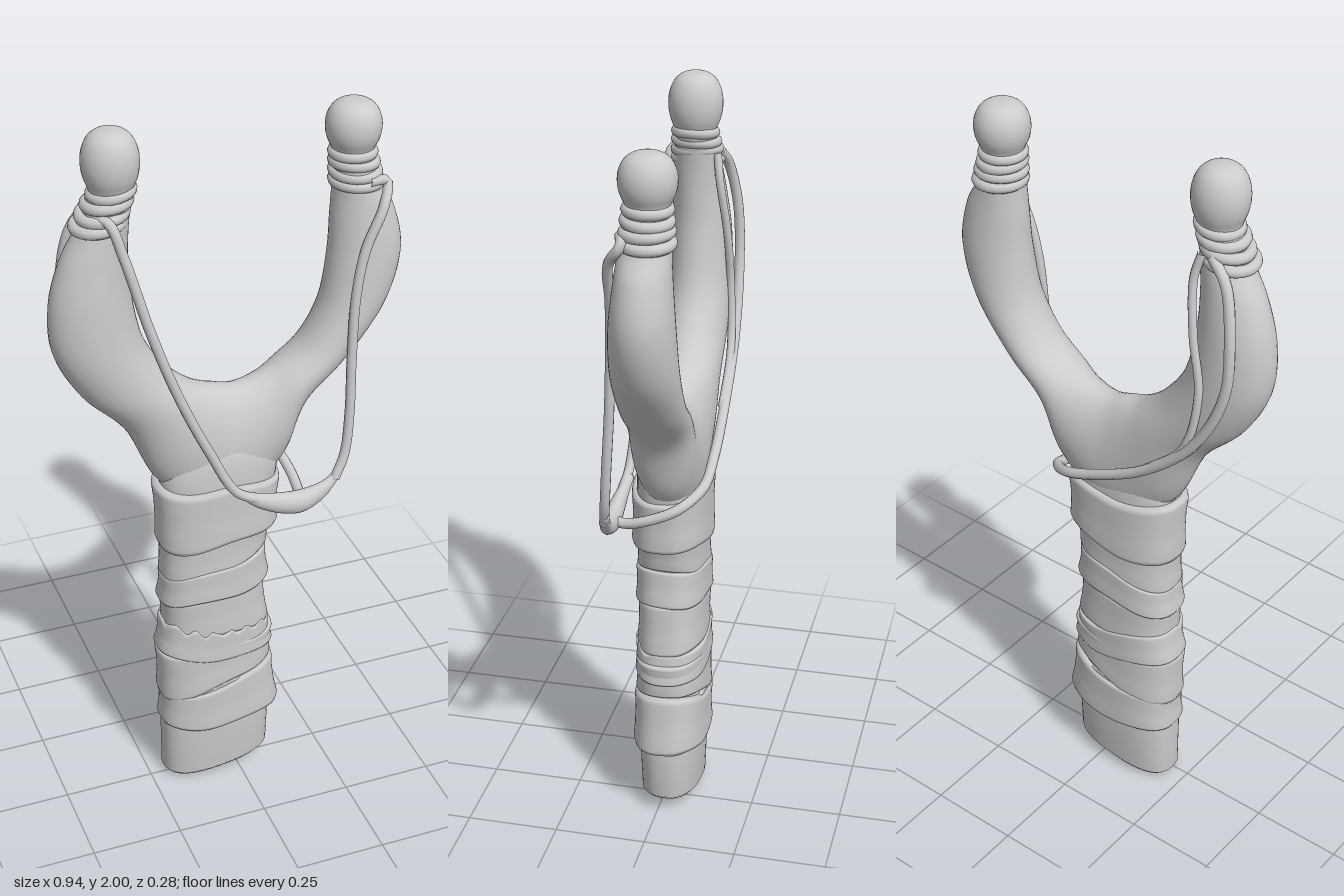
import * as THREE from 'three';

const V = (x, y, z) => new THREE.Vector3(x, y, z);
const grey = new THREE.MeshStandardMaterial({ color: 0xcccccc });

// Skin through closed super-ellipse sections { c: centre, u, v: half axes }
function loft(sections, { seg = 40, steps = 0, power = 2 } = {}) {
  let rings = sections;
  if (steps) {
    const [c, u, v] = ['c', 'u', 'v'].map(k =>
      new THREE.CatmullRomCurve3(sections.map(s => s[k]), false, 'catmullrom'));
    rings = Array.from({ length: steps + 1 }, (_, i) => {
      const t = i / steps;
      return { c: c.getPoint(t), u: u.getPoint(t), v: v.getPoint(t) };
    });
  }
  const n = rings.length, pos = [], idx = [];
  const along = rings[1].c.clone().sub(rings[0].c);
  const sign = Math.sign(rings[0].u.clone().cross(rings[0].v).dot(along)) || 1;
  const bend = w => Math.sign(w) * Math.abs(w) ** (2 / power);
  for (const { c, u, v } of rings) {
    for (let j = 0; j < seg; j++) {
      const a = j / seg * Math.PI * 2;
      const p = c.clone().addScaledVector(u, bend(Math.cos(a))).addScaledVector(v, sign * bend(Math.sin(a)));
      pos.push(p.x, p.y, p.z);
    }
  }
  for (let i = 0; i < n - 1; i++) {
    for (let j = 0; j < seg; j++) {
      const a = i * seg + j, b = i * seg + (j + 1) % seg;
      idx.push(a, b, a + seg, b, b + seg, a + seg);
    }
  }
  // end caps
  [0, n - 1].forEach((r, e) => {
    const m = pos.length / 3, c = rings[r].c;
    pos.push(c.x, c.y, c.z);
    for (let j = 0; j < seg; j++) {
      const a = r * seg + j, b = r * seg + (j + 1) % seg;
      idx.push(...(e ? [m, a, b] : [m, b, a]));
    }
  });
  const g = new THREE.BufferGeometry();
  g.setAttribute('position', new THREE.Float32BufferAttribute(pos, 3));
  g.setIndex(idx);
  g.computeVertexNormals();
  return g;
}

// Section lying across the handle, tilted from its right edge to its left edge
const across = (xa, ya, xb, yb, depth, z = -0.015, k = 1) => ({
  c: V((xa + xb) / 2, (ya + yb) / 2, z),
  u: V((xb - xa) / 2 * k, (yb - ya) / 2, 0),
  v: V(0, 0, depth * k),
});

export function createModel() {
  const model = new THREE.Group();
  const add = (name, geometry, parent = model) => {
    const m = new THREE.Mesh(geometry, grey);
    m.name = name;
    parent.add(m);
    return m;
  };
  const cord = (name, pts, r = 0.013) => add(name, new THREE.TubeGeometry(
    new THREE.CatmullRomCurve3(pts.map(p => V(...p))), 70, r, 10));

  // U-shaped fork: outer x, y, inner x, y, half depth
  const fork = [
    [-0.365, 1.84, -0.25, 1.86, 0.055], [-0.39, 1.76, -0.265, 1.77, 0.062],
    [-0.44, 1.67, -0.27, 1.67, 0.07], [-0.473, 1.55, -0.265, 1.57, 0.08],
    [-0.467, 1.42, -0.235, 1.43, 0.085], [-0.40, 1.29, -0.17, 1.33, 0.085],
    [-0.29, 1.17, -0.10, 1.27, 0.085], [-0.20, 0.99, -0.04, 1.25, 0.085],
    [-0.04, 0.88, 0.01, 1.24, 0.085], [0.13, 0.99, 0.07, 1.25, 0.085],
    [0.20, 1.16, 0.13, 1.275, 0.085], [0.31, 1.27, 0.20, 1.33, 0.085],
    [0.42, 1.41, 0.25, 1.43, 0.085], [0.465, 1.55, 0.27, 1.56, 0.08],
    [0.445, 1.67, 0.275, 1.67, 0.07], [0.40, 1.75, 0.28, 1.76, 0.062],
    [0.385, 1.84, 0.275, 1.84, 0.055],
  ].map(([ox, oy, ix, iy, d], i) => ({
    c: V((ox + ix) / 2, (oy + iy) / 2, -0.01 - 0.025 * i / 16),
    u: V((ox - ix) / 2, (oy - iy) / 2, 0),
    v: V(0, 0, d),
  }));
  add('fork', loft(fork, { steps: 110 }));

  // Handle core running up into the crotch
  add('handle', loft([
    across(-0.195, 0.004, 0.085, 0.04, 0.07),
    across(-0.208, 0.018, 0.1, 0.055, 0.08),
    across(-0.208, 0.2, 0.105, 0.2, 0.086),
    across(-0.20, 0.45, 0.095, 0.45, 0.088),
    across(-0.185, 0.7, 0.075, 0.7, 0.085),
    across(-0.20, 0.97, 0.12, 0.97, 0.088),
    across(-0.20, 1.04, 0.13, 1.04, 0.084),
    across(-0.16, 1.12, 0.11, 1.12, 0.07),
  ], { power: 2.5 }));

  // Wrapped strips: lower edge (right, left), upper edge (right, left), x range below and above, half depth
  const wraps = new THREE.Group();
  wraps.name = 'gripWrap';
  model.add(wraps);
  [
    [0.185, 0.20, 0.30, 0.37, -0.214, 0.132, -0.212, 0.112, 0.1],
    [0.285, 0.38, 0.45, 0.48, -0.215, 0.105, -0.22, 0.114, 0.096],
    [0.28, 0.20, 0.40, 0.33, -0.212, 0.130, -0.212, 0.108, 0.094],
    [0.44, 0.41, 0.54, 0.50, -0.221, 0.113, -0.206, 0.1, 0.097],
    [0.50, 0.50, 0.63, 0.65, -0.20, 0.1, -0.206, 0.085, 0.092],
    [0.61, 0.65, 0.70, 0.76, -0.211, 0.1, -0.203, 0.09, 0.097],
    [0.68, 0.75, 0.81, 0.84, -0.202, 0.09, -0.204, 0.112, 0.092],
    [0.785, 0.825, 0.985, 0.975, -0.208, 0.122, -0.218, 0.13, 0.102],
  ].forEach(([a0, b0, a1, b1, l0, r0, l1, r1, d], i) => {
    const rows = [[0, 0.9], [0.03, 0.985], [0.1, 1.01], [0.35, 0.985], [0.65, 0.98], [0.9, 1], [0.97, 0.985], [1, 0.9]];
    const mix = THREE.MathUtils.lerp;
    const g = loft(rows.map(([t, k]) =>
      across(mix(l0, l1, t), mix(a0, a1, t), mix(r0, r1, t), mix(b0, b1, t), d, -0.015, k)),
    { seg: 72, power: 2.5 });
    // uneven hand-wound edges, one of them torn
    const p = g.attributes.position;
    for (let j = 0; j < p.count; j++) {
      const x = p.getX(j), z = p.getZ(j);
      let y = p.getY(j) + 0.006 * Math.sin(x * 23 + i * 2 + z * 9);
      if (i === 3 && z > 0 && y > 0.49) y += 0.01 * Math.sin(x * 130);
      p.setY(j, y);
    }
    g.computeVertexNormals();
    add('wrapStrip', g, wraps);
  });

  // Fork ends: rounded knob and bound neck
  const ends = [
    { side: 'right', x: -0.306, z: -0.01, top: 2, tilt: 0.12, low: 1.765 },
    { side: 'left', x: 0.331, z: -0.037, top: 1.97, tilt: -0.04, low: 1.755 },
  ];
  for (const { side, x, z, top, tilt, low } of ends) {
    const end = new THREE.Group();
    end.name = side + 'ForkEnd';
    model.add(end);
    const h = top - 1.825;
    const profile = [[0, 0], [0.05, 0], [0.055, 0.15], [0.066, 0.32], [0.071, 0.5], [0.068, 0.7], [0.054, 0.88], [0.03, 0.98], [0, 1]]
      .map(([r, t]) => new THREE.Vector2(r, t * h));
    const smooth = new THREE.SplineCurve(profile).getPoints(32).map(p => new THREE.Vector2(Math.max(p.x, 0), p.y));
    const knob = add(side + 'Knob', new THREE.LatheGeometry(smooth, 32), end);
    knob.position.set(x, 1.825, z);
    for (let i = 0; i < 4; i++) {
      const ring = add('neckBinding', new THREE.TorusGeometry(0.049 + 0.003 * (3 - i), 0.015, 10, 36), end);
      ring.position.set(x - tilt * 0.1 * (3 - i), low + i * 0.026, z);
      ring.rotation.set(Math.PI / 2 + 0.05 * Math.sin(i * 2), tilt + 0.08 * Math.sin(i * 3), 0);
    }
  }

  // Elastic cords
  cord('frontRightCord', [[-0.36, 1.79, 0.02], [-0.335, 1.79, 0.055], [-0.305, 1.7, 0.076], [-0.25, 1.5, 0.095],
    [-0.18, 1.3, 0.098], [-0.1, 1.12, 0.1], [-0.03, 0.99, 0.105], [0.03, 0.955, 0.11]]);
  cord('frontLeftCord', [[0.35, 1.77, 0.025], [0.405, 1.76, 0.012], [0.385, 1.71, 0.045], [0.335, 1.6, 0.055], [0.31, 1.48, 0.062],
    [0.3, 1.3, 0.07], [0.295, 1.15, 0.08], [0.28, 1.03, 0.09], [0.25, 0.965, 0.1]]);
  cord('backCord', [[-0.33, 1.79, -0.07], [-0.38, 1.74, -0.085], [-0.41, 1.62, -0.105], [-0.405, 1.45, -0.112],
    [-0.32, 1.27, -0.118], [-0.17, 1.13, -0.122], [-0.02, 1.05, -0.126], [0.08, 1.01, -0.12], [0.15, 0.975, -0.07],
    [0.165, 0.945, 0], [0.16, 0.925, 0.07], [0.15, 0.93, 0.11]], 0.014);
  cord('backInnerCord', [[-0.3, 1.79, -0.07], [-0.285, 1.72, -0.08], [-0.3, 1.58, -0.098], [-0.325, 1.42, -0.105],
    [-0.29, 1.25, -0.114], [-0.17, 1.13, -0.116]], 0.011);

  // Pouch: x, y, z, half height, half depth
  add('pouch', loft([
    [-0.015, 0.975, 0.1, 0.012, 0.012], [0.03, 0.95, 0.107, 0.022, 0.016], [0.09, 0.93, 0.11, 0.03, 0.022],
    [0.15, 0.923, 0.11, 0.032, 0.026], [0.21, 0.938, 0.105, 0.025, 0.018], [0.25, 0.965, 0.096, 0.017, 0.013],
    [0.275, 0.995, 0.09, 0.012, 0.011],
  ].map(([x, y, z, h, d]) => ({ c: V(x, y, z), u: V(0, h, 0), v: V(0, 0, d) })), { seg: 24, steps: 40 }));

  return model;
}
